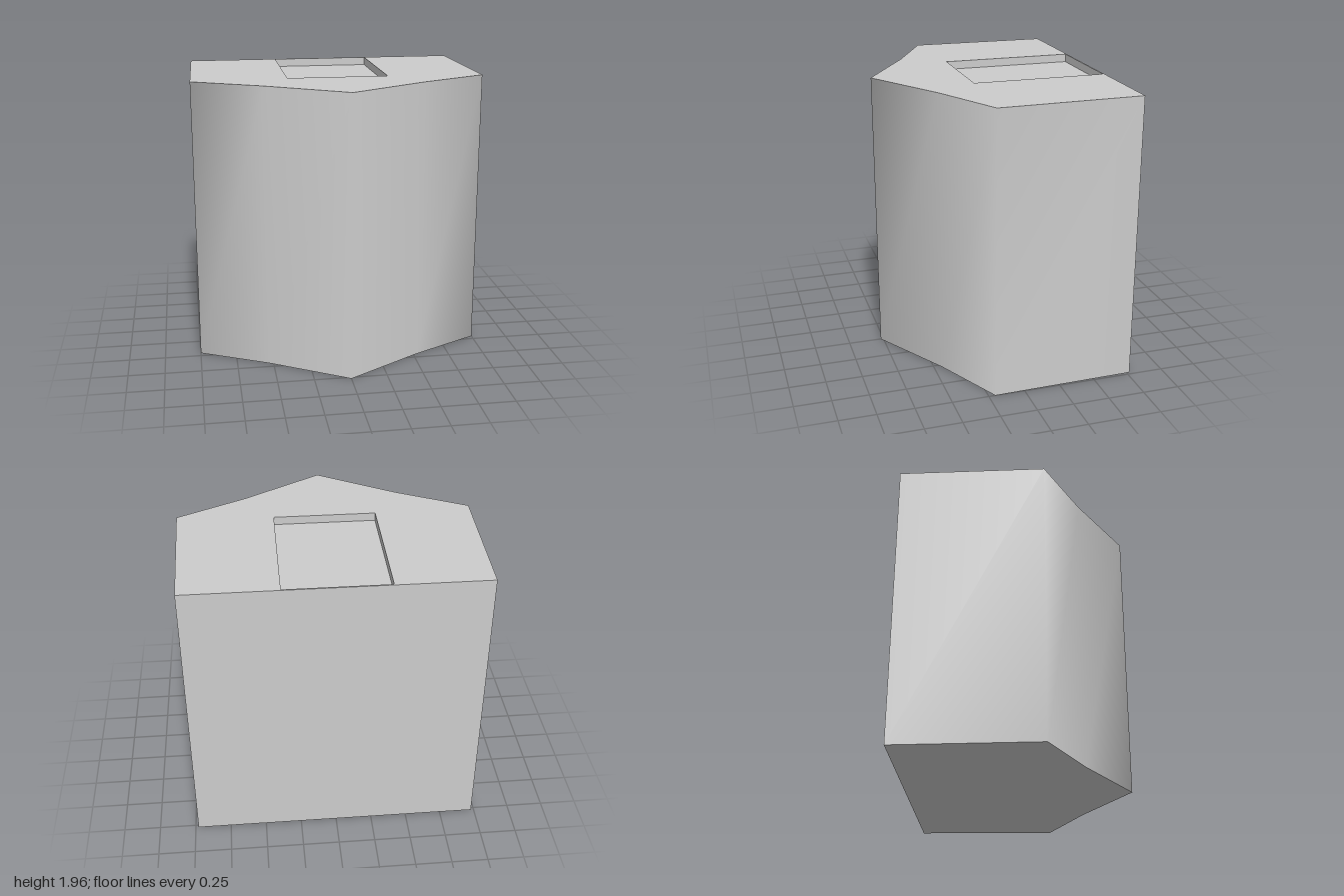
import * as THREE from 'three';

const HEIGHT = 1.955;
const POCKET_DEPTH = 0.056;

// Outline as [x, z], running from the back on -x round the front to the back on +x
const half = [[-0.98, -0.77], [-1, 0.205], [-0.53, 0.445]];
const outline = [...half, [0, 0.77], ...half.map(([x, z]) => [-x, z]).reverse()];

// Pocket outline, in the order that makes its walls face inward
const pocket = [[-0.345, -0.76], [0.345, -0.76], [0.345, 0.152], [-0.345, 0.152]];

// Upright strip through the points, smooth across its shared corners
function strip(points, y0, y1) {
  const position = [], index = [];
  points.forEach(([x, z], i) => {
    position.push(x, y0, z, x, y1, z);
    if (i > 0) {
      const a = 2 * (i - 1);
      index.push(a, a + 2, a + 3, a, a + 3, a + 1);
    }
  });
  const geometry = new THREE.BufferGeometry();
  geometry.setAttribute('position', new THREE.Float32BufferAttribute(position, 3));
  geometry.setIndex(index);
  geometry.computeVertexNormals();
  return geometry;
}

// Level face, looking up (up = 1) or down (up = -1)
function level(points, y, up, hole) {
  const toVectors = (list) => list.map(([x, z]) => new THREE.Vector2(x, -up * z));
  const shape = new THREE.Shape(toVectors(points));
  if (hole) shape.holes.push(new THREE.Path(toVectors(hole)));
  return new THREE.ShapeGeometry(shape).rotateX(-up * Math.PI / 2).translate(0, y, 0);
}

export function createModel() {
  const group = new THREE.Group();
  const material = new THREE.MeshStandardMaterial({ color: 0xcccccc });
  const add = (name, geometry) => {
    const mesh = new THREE.Mesh(geometry, material);
    mesh.name = name;
    group.add(mesh);
  };

  // Body: smooth side and front wall, flat back, base and top
  add('frontWall', strip(outline, 0, HEIGHT));
  add('backWall', strip([outline[outline.length - 1], outline[0]], 0, HEIGHT));
  add('base', level(outline, 0, -1));
  add('top', level(outline, HEIGHT, 1, pocket));

  // Shallow rectangular pocket in the top
  const floorY = HEIGHT - POCKET_DEPTH;
  add('pocketFloor', level(pocket, floorY, 1));
  pocket.forEach((p, i) => add('pocketWall', strip([p, pocket[(i + 1) % 4]], floorY, HEIGHT)));

  return group;
}
